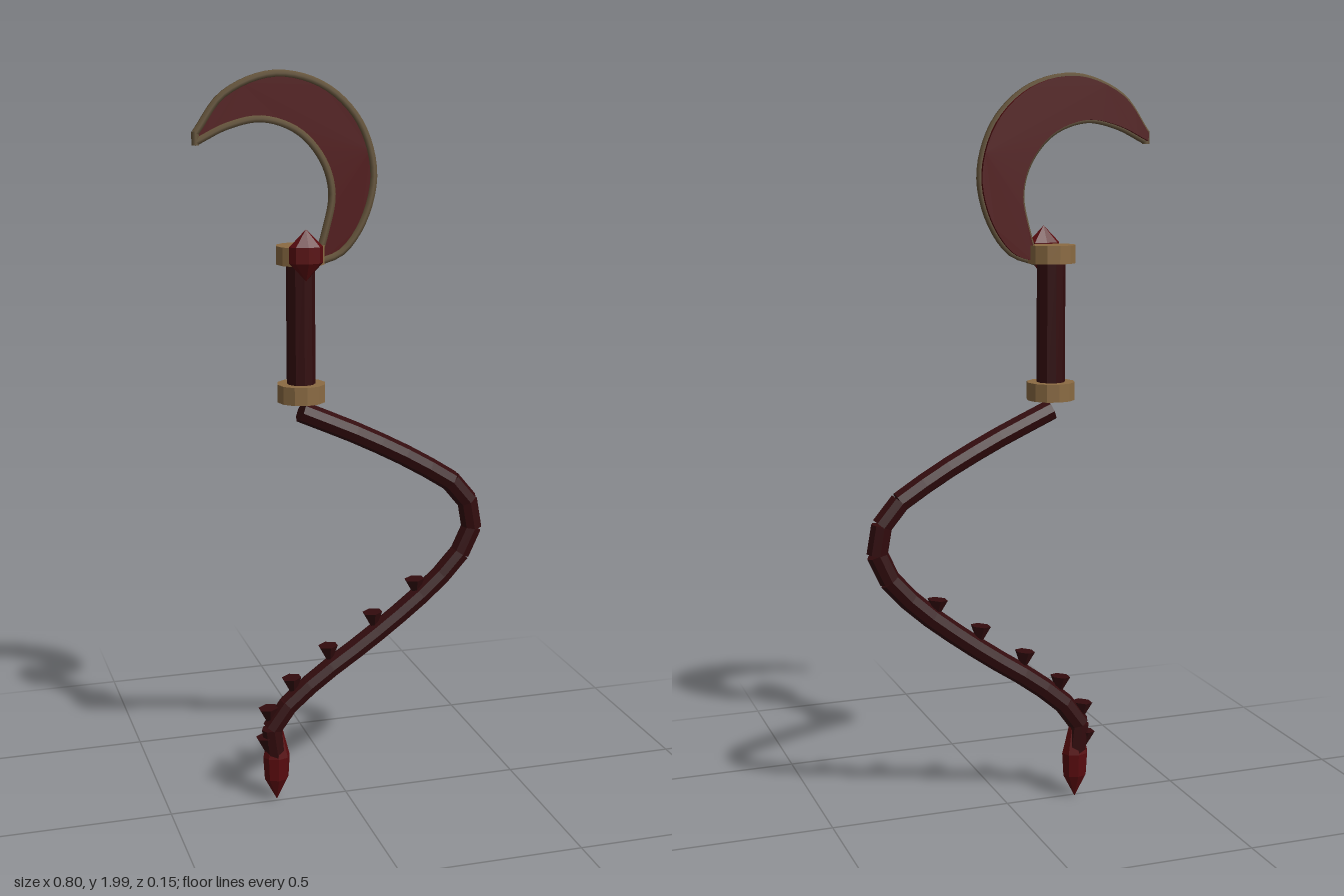
import * as THREE from 'three';

const mat = (name, color) => {
  const m = new THREE.MeshStandardMaterial({ color });
  m.name = name;
  return m;
};
const flat = (g) => {
  const f = g.index ? g.toNonIndexed() : g;
  f.computeVertexNormals();
  return f;
};

export function createModel() {
  const group = new THREE.Group();
  const gold = mat('aged gold', 0x8b6b43);
  const rimGold = mat('dull bronze', 0x65543a);
  const bladeRed = mat('blade red', 0x500b0d);
  const gemRed = mat('gem red', 0x580b0e);
  const gripRed = mat('dark grip red', 0x320b0d);
  const Z = -0.01;

  const add = (name, geometry, material, x, y, z = Z) => {
    const mesh = new THREE.Mesh(geometry, material);
    mesh.name = name;
    mesh.position.set(x, y, z);
    group.add(mesh);
    return mesh;
  };
  const v = ([x, y]) => new THREE.Vector3(x, y, 0);
  const spline = (pts) => new THREE.CatmullRomCurve3(pts.map(v), false, 'centripetal');

  // Crescent blade: outer and inner arcs joined at a blunt tip
  const outer = spline([[-0.393, 1.845], [-0.32, 1.94], [-0.19, 1.99], [-0.06, 1.96], [0.035, 1.87],
    [0.075, 1.74], [0.05, 1.62], [-0.01, 1.535], [-0.08, 1.508]]);
  const inner = spline([[-0.08, 1.508], [-0.055, 1.59], [-0.037, 1.685], [-0.06, 1.77],
    [-0.125, 1.845], [-0.22, 1.878], [-0.31, 1.862], [-0.393, 1.823]]);
  const tipEdge = new THREE.LineCurve3(v([-0.393, 1.815]), v([-0.393, 1.85]));
  const outline = [...outer.getPoints(40), ...inner.getPoints(36).slice(1)]
    .map((p) => new THREE.Vector2(p.x, p.y));
  add('blade', new THREE.ExtrudeGeometry(new THREE.Shape(outline), { depth: 0.02, bevelEnabled: false }),
    bladeRed, 0, 0, -0.02);
  [[outer, 40], [inner, 36], [tipEdge, 1]].forEach(([curve, n]) =>
    add('bladeRim', new THREE.TubeGeometry(curve, n, 0.01, 6), rimGold, 0, 0, 0));

  // Grip with a collar at each end
  add('grip', flat(new THREE.CylinderGeometry(0.038, 0.038, 0.36, 10)), gripRed, -0.12, 1.345);
  for (const y of [1.165, 1.53]) {
    add('collar', flat(new THREE.CylinderGeometry(0.065, 0.065, 0.048, 12)), gold, -0.12, y);
  }

  // Faceted stones: a pointed gem on the collar and the weighted end of the tail
  const facet = (pts, sides) =>
    flat(new THREE.LatheGeometry(pts.map((p) => new THREE.Vector2(...p)), sides));
  const gem = add('gem', facet([[0, -0.067], [0.045, -0.02], [0.045, 0.022], [0, 0.067]], 8),
    gemRed, -0.12, 1.535, 0.047);
  gem.scale.z = 0.6;
  add('tailPoint', facet([[0, 0], [0.034, 0.065], [0.038, 0.13], [0.018, 0.21], [0, 0.21]], 8),
    gemRed, -0.198, 0.004).scale.z = 0.8;

  // Segmented whip tail: straight links along a curve, open at the bends
  const tail = spline([[-0.12, 1.112], [0.055, 1.032], [0.225, 0.94], [0.325, 0.87], [0.37, 0.785],
    [0.35, 0.705], [0.27, 0.61], [0.08, 0.46], [-0.06, 0.365], [-0.165, 0.28], [-0.212, 0.21], [-0.2, 0.14]]);
  const links = 19;
  const points = tail.getSpacedPoints(links);
  const up = new THREE.Vector3(0, 1, 0);
  for (let i = 0; i < links; i++) {
    const dir = points[i + 1].clone().sub(points[i]);
    const mid = points[i].clone().add(points[i + 1]).multiplyScalar(0.5);
    const link = add('tailLink', flat(new THREE.CylinderGeometry(0.029, 0.029, dir.length() * 1.03, 8)),
      gripRed, mid.x, mid.y);
    link.quaternion.setFromUnitVectors(up, dir.normalize());
  }

  // Barbs along the lower half of the tail
  for (const [x, y] of [[0.205, 0.585], [0.083, 0.5], [-0.045, 0.415], [-0.15, 0.332], [-0.217, 0.25], [-0.225, 0.165]]) {
    const barb = add('barb', flat(new THREE.ConeGeometry(0.028, 0.06, 6)), gripRed, x, y);
    barb.rotation.z = Math.PI + 0.1;
  }
  return group;
}
